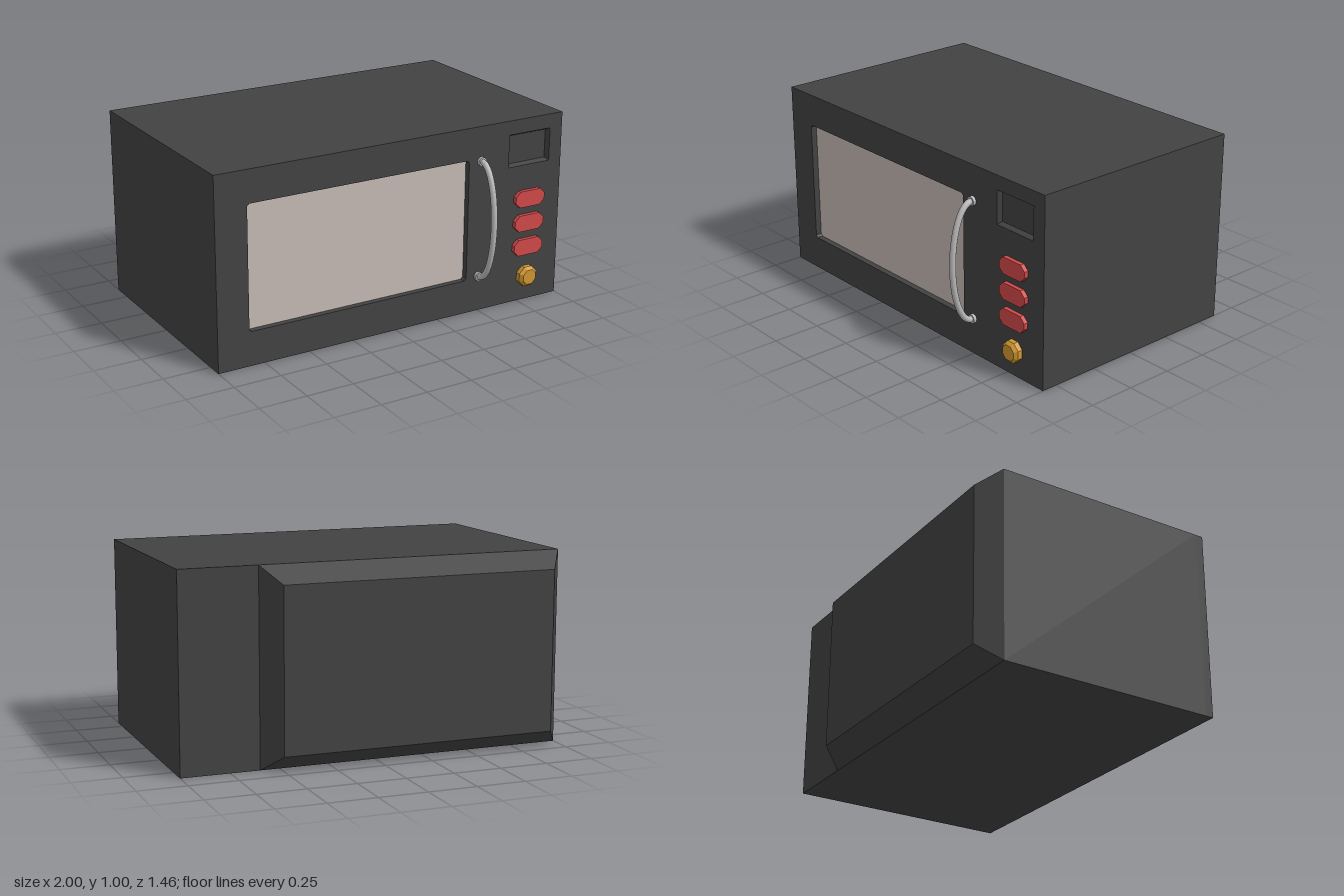
import * as THREE from 'three';

const mat = (name, color) => Object.assign(new THREE.MeshStandardMaterial({ color }), { name });

// Closed polygon path from [x, y] pairs
const trace = (path, pts) => {
  pts.forEach(([x, y], i) => (i ? path.lineTo(x, y) : path.moveTo(x, y)));
  path.closePath();
  return path;
};

// Rectangle with cut corners, counter-clockwise
const cutRect = (x0, y0, x1, y1, c) => [
  [x0 + c, y0], [x1 - c, y0], [x1, y0 + c], [x1, y1 - c],
  [x1 - c, y1], [x0 + c, y1], [x0, y1 - c], [x0, y0 + c],
];
const rect = (x0, y0, x1, y1) => [[x0, y0], [x1, y0], [x1, y1], [x0, y1]];

// Tapered walls between two rectangles with a cap on the rear one;
// outward makes a solid bulge, otherwise a recess
function taper(front, zFront, rear, zRear, outward) {
  const a = front.map(p => [...p, zFront]);
  const b = rear.map(p => [...p, zRear]);
  const tris = [[b[0], b[1], b[2]], [b[0], b[2], b[3]]];
  for (let i = 0; i < 4; i++) {
    const j = (i + 1) % 4;
    tris.push([a[i], a[j], b[j]], [a[i], b[j], b[i]]);
  }
  if (outward) tris.forEach(t => t.reverse());
  const g = new THREE.BufferGeometry();
  g.setAttribute('position', new THREE.Float32BufferAttribute(tris.flat(2), 3));
  g.computeVertexNormals();
  return g;
}

export function createModel() {
  const group = new THREE.Group();
  const charcoal = mat('charcoal casing', 0x424242);
  const glass = mat('pale glass', 0xc4b8b3);
  const red = mat('red buttons', 0xd04848);
  const gold = mat('gold knob', 0xcf9630);
  const steel = mat('steel handle', 0xbababa);
  const FRONT = 0.585, BACK = -0.615, SEAM = 0.54;

  const add = (name, geo, material, x = 0, y = 0, z = 0) => {
    const m = new THREE.Mesh(geo, material);
    m.name = name;
    m.position.set(x, y, z);
    group.add(m);
    return m;
  };

  // Casing
  add('casing', new THREE.BoxGeometry(2, 1, SEAM - BACK), charcoal, 0, 0.5, (SEAM + BACK) / 2);

  // Front panel with openings for the window and the display
  const windowEdge = cutRect(-0.83, 0.18, 0.425, 0.83, 0.012);
  const displayEdge = rect(0.67, 0.75, 0.925, 0.925);
  const panel = trace(new THREE.Shape(), rect(-1, 0, 1, 1));
  panel.holes.push(trace(new THREE.Path(), windowEdge), trace(new THREE.Path(), displayEdge));
  add('frontPanel', new THREE.ExtrudeGeometry(panel, { depth: FRONT - SEAM, bevelEnabled: false }),
    charcoal, 0, 0, SEAM);

  // Window pane set back in its opening
  add('windowPane', new THREE.ShapeGeometry(trace(new THREE.Shape(), windowEdge)), glass, 0, 0, 0.553);

  // Sloped display recess
  add('displayRecess', taper(displayEdge, FRONT, rect(0.682, 0.762, 0.913, 0.913), 0.56, false), charcoal);

  // Rear bulge
  add('rearBulge', taper(rect(-1, 0, 0.6, 1), BACK, rect(-0.92, 0.085, 0.515, 0.915), -0.73, true), charcoal);

  // Buttons
  const button = trace(new THREE.Shape(), cutRect(-0.09, -0.044, 0.09, 0.044, 0.028));
  for (const y of [0.57, 0.437, 0.303]) {
    add('button', new THREE.ExtrudeGeometry(button, { depth: 0.022, bevelEnabled: false }), red, 0.8, y, FRONT);
  }

  // Eight-sided knob with a bevelled face
  const knob = new THREE.LatheGeometry(
    [[0.058, 0], [0.058, 0.026], [0.042, 0.043], [0, 0.043]].map(p => new THREE.Vector2(...p)), 8,
  ).toNonIndexed();
  knob.rotateY(Math.PI / 8).rotateX(Math.PI / 2).computeVertexNormals();
  add('knob', knob, gold, 0.8, 0.137, FRONT);

  // Bowed handle and its end collars
  const points = [new THREE.Vector3(0, 0.314, 0)];
  for (let i = 0; i <= 16; i++) {
    const t = (i / 16) * Math.PI;
    points.push(new THREE.Vector3(0, 0.312 * Math.cos(t), 0.012 + 0.117 * Math.sin(t)));
  }
  points.push(new THREE.Vector3(0, -0.314, 0));
  add('handle', new THREE.TubeGeometry(new THREE.CatmullRomCurve3(points), 48, 0.016, 12),
    steel, 0.497, 0.504, FRONT);
  for (const s of [-1, 1]) {
    const collar = new THREE.CylinderGeometry(0.024, 0.024, 0.016, 16).rotateX(Math.PI / 2);
    add('handleCollar', collar, steel, 0.497, 0.504 + s * 0.312, FRONT + 0.008);
  }

  return group;
}
